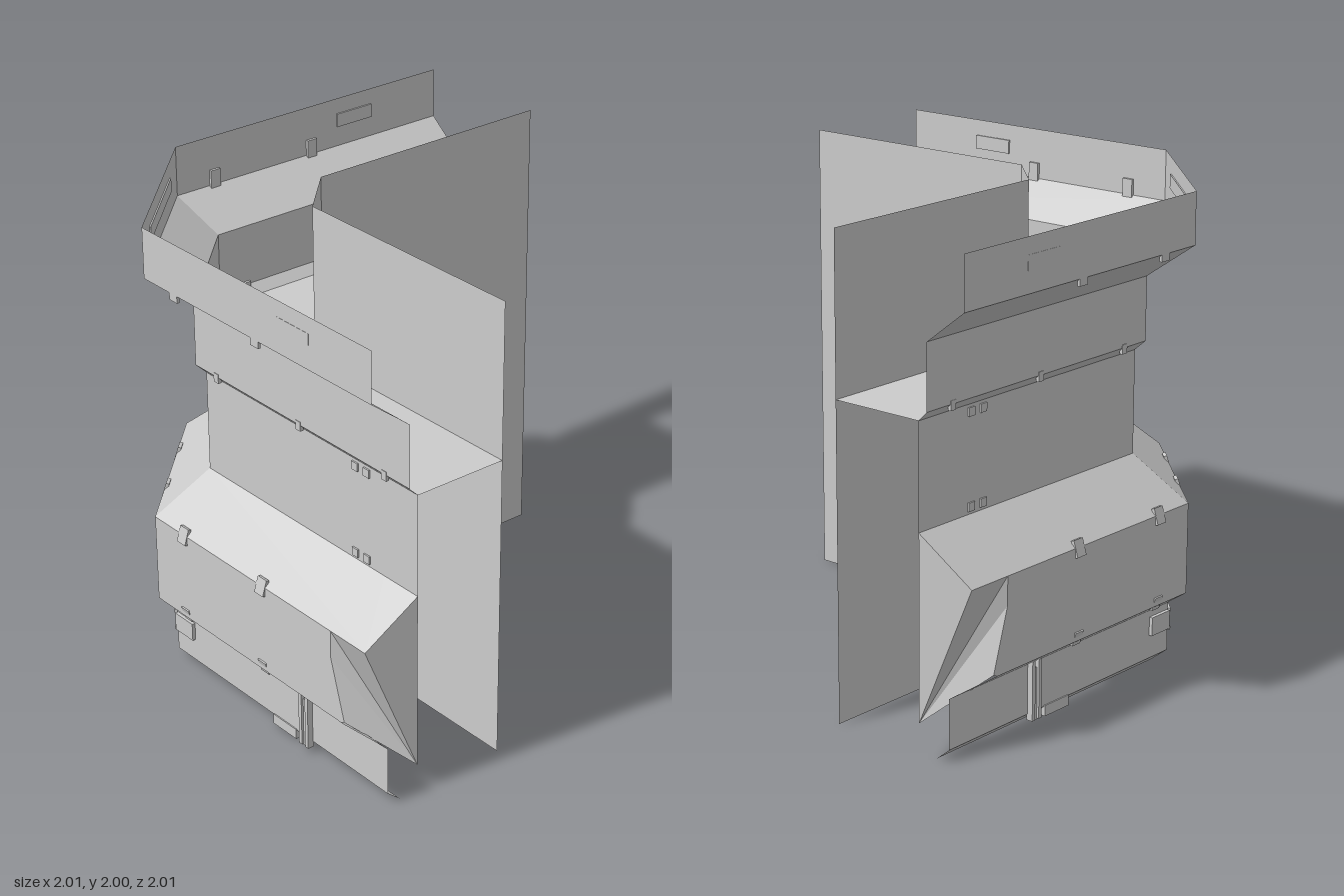
import * as THREE from 'three';

const T = Math.tan(Math.PI / 8); // corner slope of the octagonal plan
const mat = new THREE.MeshStandardMaterial({ color: 0xcccccc, flatShading: true, side: THREE.DoubleSide });

// Sheet made of convex polygons, each fanned from its first corner
function sheet(name, polygons) {
  const pos = [];
  for (const p of polygons)
    for (let i = 1; i < p.length - 1; i++) pos.push(...p[0], ...p[i], ...p[i + 1]);
  const g = new THREE.BufferGeometry();
  g.setAttribute('position', new THREE.Float32BufferAttribute(pos, 3));
  g.computeVertexNormals();
  const m = new THREE.Mesh(g, mat);
  m.name = name;
  return m;
}

function box(name, w, h, d, x, y, z, tilt = 0) {
  const m = new THREE.Mesh(new THREE.BoxGeometry(w, h, d), mat);
  m.name = name;
  m.position.set(x, y, z);
  m.rotation.x = tilt;
  return m;
}

// Outer bands: [name, top height, top offset, bottom height, bottom offset]
const BANDS = [
  ['topBand', 2, 1, 1.78, 1],
  ['topSlope', 1.78, 1, 1.64, 0.82],
  ['upperBand', 1.64, 0.82, 1.37, 0.82],
  ['upperLip', 1.37, 0.82, 1.33, 0.78],
  ['middlePanel', 1.33, 0.78, 0.89, 0.78],
  ['bulgeSlope', 0.89, 0.78, 0.7, 1],
  ['bulgeBand', 0.7, 1, 0.31, 1],
  ['bulgeUnderside', 0.31, 1, 0.26, 0.93],
  ['skirt', 0.26, 0.93, 0.05, 0.93],
  ['skirtFoot', 0.05, 0.93, 0, 0.87],
];

// The bulge stops short of the open end: its end corners, top to bottom
const BULGE_END = {
  bulgeSlope: [[0.8, 0.89, 0.78], [0.95, 0.7, 1]],
  bulgeBand: [[0.74, 0.7, 1], [0.74, 0.58, 1], [0.82, 0.32, 1], [0.8, 0.31, 1]],
  bulgeUnderside: [[0.82, 0.31, 1], [1, 0.26, 0.93]],
};

function createArm() {
  const arm = new THREE.Group();
  for (const [name, y0, d0, y1, d1] of BANDS) {
    const end = BULGE_END[name] || [[1, y0, d0], [1, y1, d1]];
    arm.add(sheet(name, [[[-T * d0, y0, d0], ...end, [-T * d1, y1, d1]]]));
  }
  // Tapered recess at the end of the bulge
  arm.add(sheet('bulgeEnd', [
    [[1, 0.12, 0.78], [1, 0.89, 0.78], [0.95, 0.7, 1], [0.74, 0.7, 1], [0.74, 0.58, 1], [0.82, 0.32, 1]],
    [[0.8, 0.89, 0.78], [1, 0.89, 0.78], [0.95, 0.7, 1]],
  ]));
  // Inner wall and the shelf joining it to the outer bands
  const w = 0.36;
  arm.add(sheet('innerWall', [[[-T * w, 0, w], [1, 0, w], [1, 2, w], [-T * w, 2, w]]]));
  arm.add(sheet('shelf', [[[-T * w, 1.33, w], [1, 1.33, w], [1, 1.33, 0.78], [-T * 0.78, 1.33, 0.78]]]));

  // Clamps along the seams
  for (const x of [-0.22, 0.3]) {
    arm.add(box('topClamp', 0.05, 0.1, 0.012, x, 1.8, 1 - 0.006));
    arm.add(box('bulgeClamp', 0.055, 0.07, 0.015, x, 0.695, 0.995, -0.3));
    arm.add(box('lowerClamp', 0.05, 0.06, 0.015, x, 0.32, 0.99, 0.3));
  }
  for (const x of [-0.2, 0.33, 0.85]) arm.add(box('lipClamp', 0.03, 0.04, 0.015, x, 1.365, 0.815));
  // Bolts on the middle panel
  for (const y of [0.92, 1.3])
    for (const x of [0.63, 0.7]) arm.add(box('bolt', 0.035, 0.035, 0.01, x, y, 0.782));
  // Plates and strut
  arm.add(box('topPlate', 0.19, 0.06, 0.008, 0.54, 1.9, 0.997));
  arm.add(box('skirtPlate', 0.15, 0.045, 0.05, 0.35, 0.032, 0.91));
  arm.add(box('ventEnd', 0.12, 0.08, 0.02, -0.32, 0.19, 0.935));
  for (const x of [0.48, 0.52]) arm.add(box('strut', 0.018, 0.25, 0.03, x, 0.15, 0.94));
  arm.add(box('strutCore', 0.03, 0.22, 0.02, 0.5, 0.13, 0.935));
  return arm;
}

function createCorner() {
  const corner = new THREE.Group();
  for (const [name, y0, d0, y1, d1] of BANDS)
    corner.add(sheet(name + 'Corner', [[[-T * d0, y0, d0], [T * d0, y0, d0], [T * d1, y1, d1], [-T * d1, y1, d1]]]));
  const w = 0.36, t = T * w, s = T * 0.78;
  corner.add(sheet('innerWallCorner', [[[-t, 0, w], [t, 0, w], [t, 2, w], [-t, 2, w]]]));
  corner.add(sheet('shelfCorner', [[[-t, 1.33, w], [t, 1.33, w], [s, 1.33, 0.78], [-s, 1.33, 0.78]]]));
  // Clamps, vent ribs and nameplate frame on the corner face
  for (const x of [-0.16, 0.16]) {
    corner.add(box('bulgeClamp', 0.05, 0.07, 0.015, x, 0.695, 0.995, -0.3));
    corner.add(box('lowerClamp', 0.05, 0.06, 0.015, x, 0.32, 0.99, 0.3));
  }
  for (const y of [0.14, 0.22]) corner.add(box('ventRib', 0.74, 0.015, 0.02, 0, y, 0.935));
  for (const y of [0.92, 1.3])
    for (const x of [-0.04, 0.04]) corner.add(box('bolt', 0.035, 0.035, 0.01, x, y, 0.782));
  corner.add(box('cornerPlate', 0.5, 0.06, 0.008, 0, 1.9, 0.998));
  return corner;
}

export function createModel() {
  const model = new THREE.Group();
  model.name = 'cornerWall';

  const front = createArm();
  front.name = 'frontWall';

  // Side wall mirrors the front wall across the diagonal
  const side = createArm();
  side.name = 'sideWall';
  side.scale.x = -1;
  side.rotation.y = -Math.PI / 2;

  const corner = createCorner();
  corner.name = 'cornerFace';
  corner.rotation.y = -Math.PI / 4;

  model.add(front, side, corner);
  return model;
}
